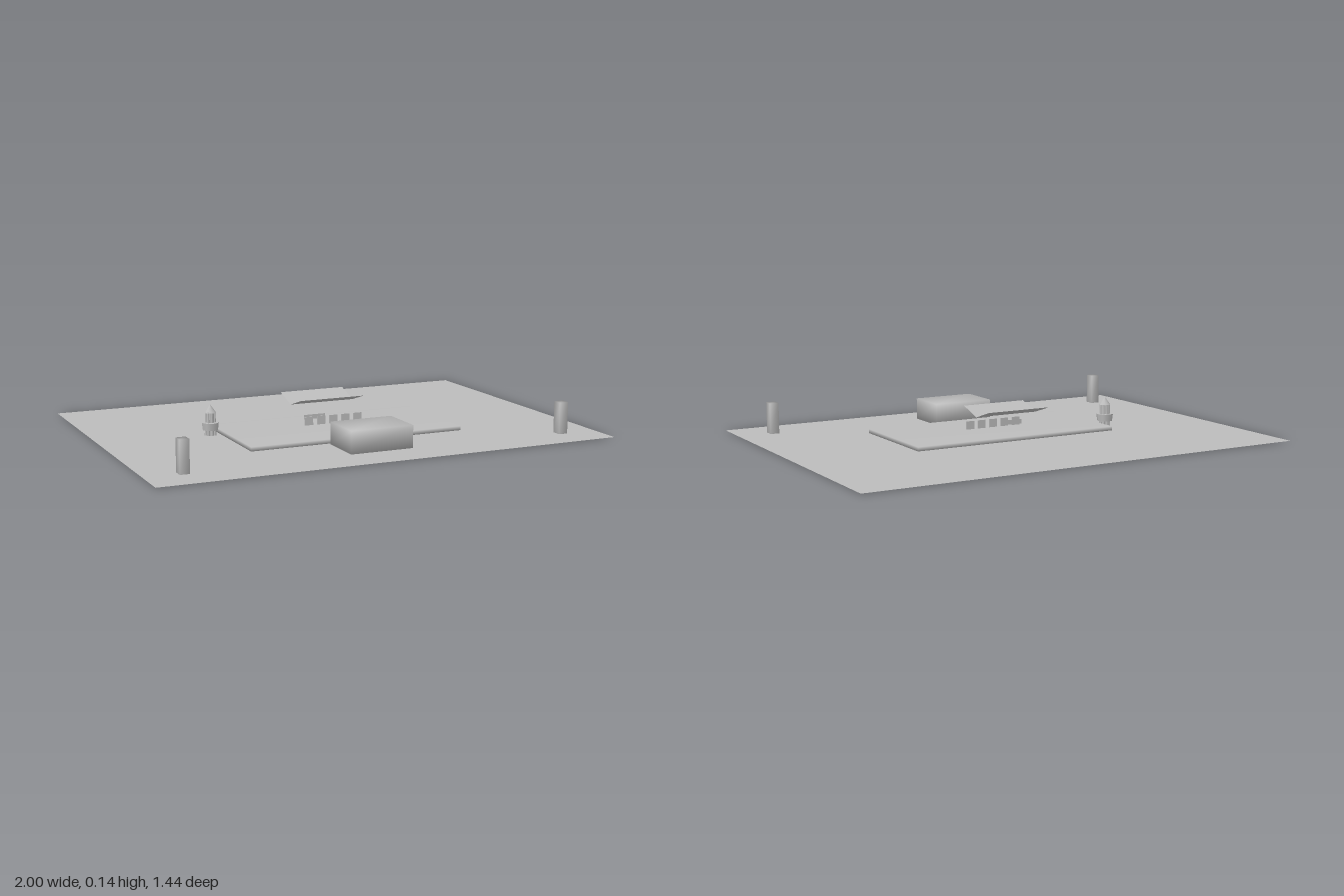
import * as THREE from 'three';
import { mergeVertices } from 'three/addons/utils/BufferGeometryUtils.js';

export function createModel() {
  const model = new THREE.Group();
  model.name = 'station';
  const grey = new THREE.MeshStandardMaterial({ color: 0xbcbcbc, side: THREE.DoubleSide });
  grey.name = 'grey';

  const add = (name, geometry, x = 0, y = 0, z = 0, parent = model) => {
    const mesh = new THREE.Mesh(geometry, grey);
    mesh.name = name;
    mesh.position.set(x, y, z);
    parent.add(mesh);
    return mesh;
  };

  // Box with shared corners, so its shading blends across the edges
  const softBox = (w, h, d) => {
    let g = new THREE.BoxGeometry(w, h, d);
    g.deleteAttribute('normal');
    g.deleteAttribute('uv');
    g = mergeVertices(g);
    g.computeVertexNormals();
    return g;
  };

  // Ground sheet and raised platform
  add('ground', new THREE.PlaneGeometry(2, 1.44).rotateX(-Math.PI / 2), 0, 0.003, 0);
  add('platform', softBox(0.96, 0.018, 0.48), 0, 0.013, 0.1);

  // Front building and the two gate posts
  add('building', softBox(0.276, 0.095, 0.198), -0.002, 0.0525, 0.457);
  for (const side of [-1, 1]) {
    add('gatePost', softBox(0.04, 0.138, 0.044), side * 0.84, 0.069, 0.557);
  }

  // Valley roof: a sheet that dips along its middle
  const roof = new THREE.PlaneGeometry(0.296, 0.22, 1, 8).rotateX(-Math.PI / 2);
  const p = roof.attributes.position;
  for (let i = 0; i < p.count; i++) {
    p.setY(i, 0.035 * Math.abs(p.getZ(i)) / 0.11);
  }
  roof.computeVertexNormals();
  add('valleyRoof', roof, -0.002, 0.1, -0.03);

  // Row of small upright panels, with a sign behind them
  for (let i = -2; i <= 2; i++) {
    add('panel', new THREE.BoxGeometry(0.038, 0.036, 0.004), i * 0.057, 0.046, 0.083);
  }
  add('sign', new THREE.PlaneGeometry(0.1, 0.02), -0.065, 0.052, 0.03);

  // Tower: ribbed shaft, collar and pointed cap
  const tower = new THREE.Group();
  tower.name = 'tower';
  tower.position.set(-0.522, 0, -0.018);
  model.add(tower);
  add('shaft', new THREE.CylinderGeometry(0.019, 0.019, 0.1, 12), 0, 0.053, 0, tower);
  for (let i = 0; i < 8; i++) {
    const a = (i / 8) * Math.PI * 2;
    add('rib', new THREE.CylinderGeometry(0.003, 0.006, 0.1, 6),
      0.02 * Math.cos(a), 0.053, 0.02 * Math.sin(a), tower);
  }
  add('collar', new THREE.CylinderGeometry(0.038, 0.034, 0.032, 8), 0, 0.042, 0, tower);
  add('cap', new THREE.ConeGeometry(0.025, 0.035, 12), 0, 0.117, 0, tower);

  return model;
}
